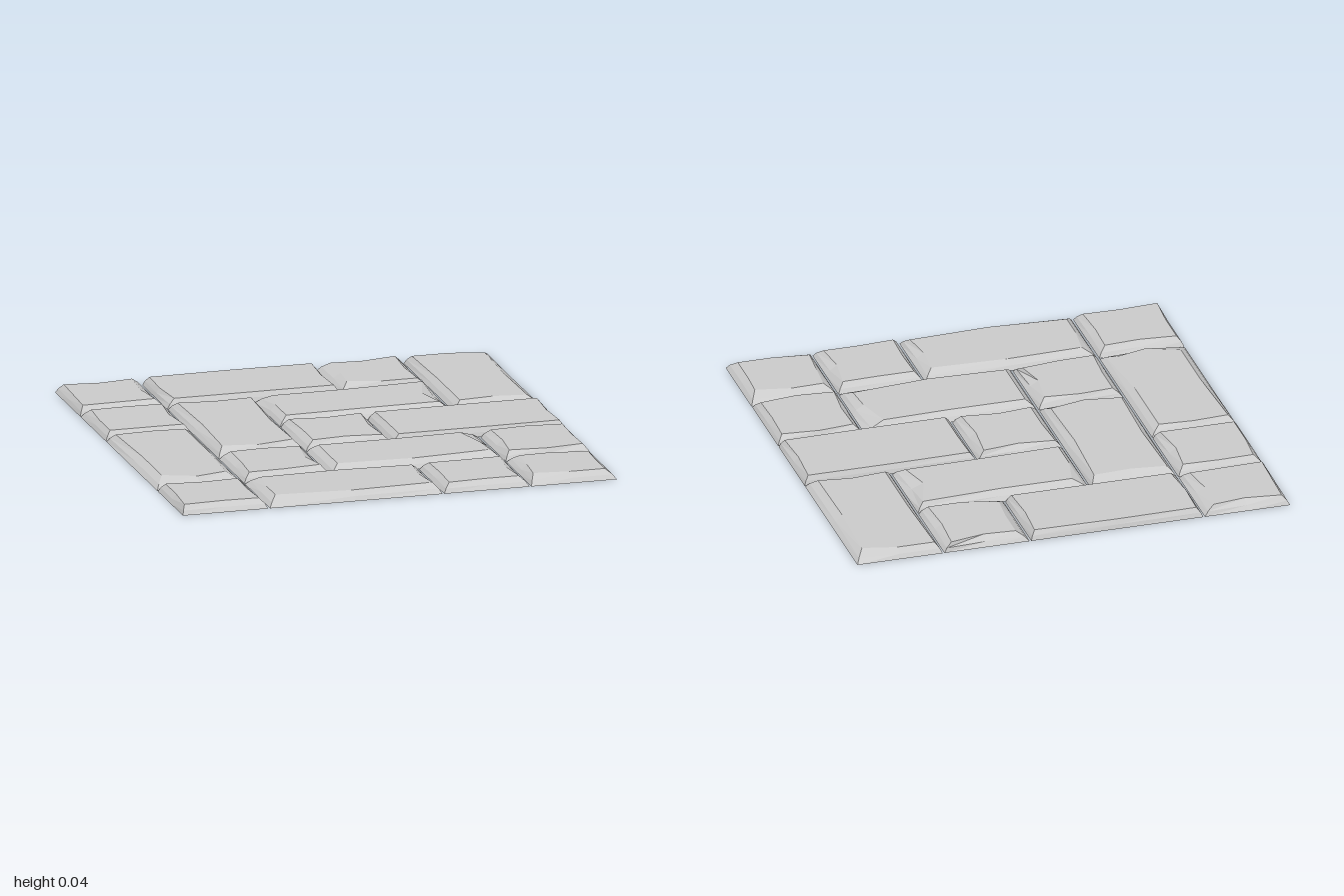
import * as THREE from 'three';

const PITCH = 0.4016; // grid step of the paving
const GAP = 0.008;    // joint between stones
const HEIGHT = 0.042;
const STEP = 0.0053;  // unit of the chipped-edge insets

// One stone: base rectangle, a steep chipped ring, then an uneven flat top.
// Insets run clockwise from the back-left corner, three along each of the
// back, right, front and left edges.
function stoneGeometry(w, d, back, right, front, left) {
  const W = w * PITCH - GAP, D = d * PITCH - GAP;
  const ring = (k, y) => [
    [k * left[2], k * back[0]],
    [W / 2, k * back[1]],
    [W - k * right[0], k * back[2]],
    [W - k * right[1], D / 2],
    [W - k * right[2], D - k * front[0]],
    [W / 2, D - k * front[1]],
    [k * left[0], D - k * front[2]],
    [k * left[1], D / 2],
  ].map(([x, z]) => [x - W / 2, y, z - D / 2]);

  const rings = [ring(0, 0), ring(0.35 * STEP, HEIGHT * 0.48), ring(STEP, HEIGHT)];
  const [base, , top] = rings;
  const pos = [];
  for (let i = 0; i < 8; i++) {
    const j = (i + 1) % 8;
    for (let r = 0; r < 2; r++) {
      const lo = rings[r], hi = rings[r + 1];
      pos.push(...lo[j], ...lo[i], ...hi[i], ...lo[j], ...hi[i], ...hi[j]);
    }
    pos.push(0, HEIGHT, 0, ...top[j], ...top[i]); // top face
    pos.push(0, 0, 0, ...base[i], ...base[j]);    // underside
  }
  const geo = new THREE.BufferGeometry();
  geo.setAttribute('position', new THREE.Float32BufferAttribute(pos, 3));
  geo.computeVertexNormals();
  return geo;
}

export function createModel() {
  const group = new THREE.Group();
  group.name = 'pavingStones';
  const material = new THREE.MeshStandardMaterial({ color: 0xcccccc, flatShading: true });

  // Column and row of the back-left cell, size in cells, then edge insets
  const stone = (col, row, w, d, ...insets) => {
    const mesh = new THREE.Mesh(stoneGeometry(w, d, ...insets), material);
    mesh.name = w + d > 2 ? 'longStone' : 'squareStone';
    mesh.position.set(
      -1 + (col + w / 2) * PITCH - GAP / 2, 0,
      -1 + (row + d / 2) * PITCH - GAP / 2);
    group.add(mesh);
  };

  // Back row
  stone(0, 0, 1, 1, [5, 9, 5], [9, 11, 7], [8, 7, 6], [4, 5, 6]);
  stone(1, 0, 2, 1, [4, 3, 4], [4, 6, 4], [4, 4, 4], [7, 4, 5]);
  stone(3, 0, 1, 1, [7, 9, 3], [7, 9, 7], [4, 4, 12], [8, 10, 10]);
  stone(4, 0, 1, 2, [7, 7, 14], [8, 10, 9], [7, 11, 8], [7, 7, 5]);
  // Second row
  stone(0, 1, 1, 1, [7, 6, 7], [6, 9, 5], [5, 5, 5], [5, 5, 7]);
  stone(1, 1, 1, 2, [8, 12, 10], [5, 8, 6], [13, 6, 11], [6, 8, 6]);
  stone(2, 1, 2, 1, [9, 9, 5], [6, 16, 9], [9, 8, 6], [7, 7, 13]);
  // Middle row
  stone(0, 2, 1, 2, [7, 5, 7], [8, 8, 11], [14, 7, 18], [9, 9, 6]);
  stone(2, 2, 1, 1, [4, 8, 4], [6, 9, 6], [5, 9, 6], [8, 8, 6]);
  stone(3, 2, 2, 1, [4, 3, 3], [4, 6, 4], [4, 3, 3], [6, 6, 5]);
  // Fourth row
  stone(1, 3, 1, 1, [6, 4, 7], [7, 11, 5], [11, 7, 6], [6, 8, 8]);
  stone(2, 3, 2, 1, [8, 8, 6], [18, 10, 8], [13, 7, 10], [8, 8, 8]);
  stone(4, 3, 1, 1, [6, 3, 6], [5, 6, 5], [8, 4, 7], [5, 8, 7]);
  // Front row
  stone(0, 4, 1, 1, [6, 9, 7], [7, 8, 6], [7, 8, 6], [3, 5, 5]);
  stone(1, 4, 2, 1, [9, 7, 10], [8, 10, 6], [10, 7, 12], [8, 8, 11]);
  stone(3, 4, 1, 1, [8, 8, 7], [6, 10, 7], [8, 8, 6], [6, 7, 6]);
  stone(4, 4, 1, 1, [9, 8, 14], [7, 8, 8], [8, 8, 12], [5, 7, 9]);

  return group;
}
